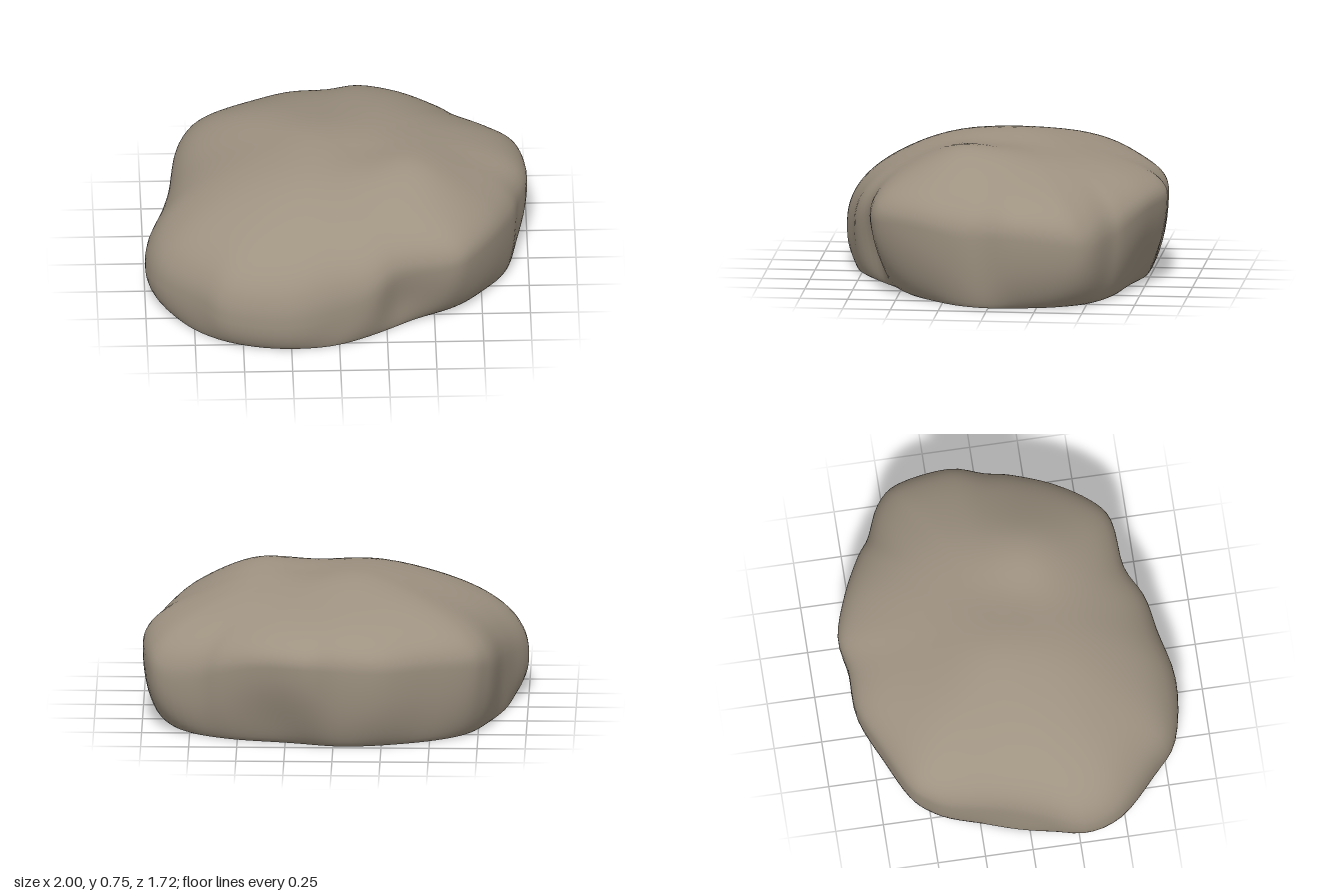
import * as THREE from 'three';

// Widest outline of the boulder: x, z, height of the widest point, base scale
const OUTLINE = [
  [1.0, -0.15, 0.38, 0.91], [0.97, -0.42, 0.34, 0.9], [0.885, -0.54, 0.3, 0.9],
  [0.7, -0.62, 0.33, 0.89], [0.59, -0.69, 0.38, 0.88], [0.38, -0.79, 0.44, 0.86],
  [0.15, -0.86, 0.45, 0.85], [-0.03, -0.83, 0.43, 0.87], [-0.26, -0.82, 0.42, 0.89],
  [-0.5, -0.71, 0.41, 0.9], [-0.7, -0.61, 0.39, 0.91], [-0.78, -0.52, 0.37, 0.92],
  [-0.83, -0.4, 0.33, 0.93], [-0.87, -0.15, 0.28, 0.95], [-0.925, 0.05, 0.24, 0.96],
  [-1.0, 0.27, 0.2, 0.96], [-0.94, 0.48, 0.2, 0.96], [-0.73, 0.68, 0.2, 0.97],
  [-0.57, 0.805, 0.18, 0.97], [-0.26, 0.855, 0.17, 0.97], [0.0, 0.795, 0.2, 0.96],
  [0.18, 0.76, 0.26, 0.92], [0.33, 0.68, 0.34, 0.88], [0.58, 0.64, 0.38, 0.84],
  [0.7, 0.55, 0.4, 0.85], [0.83, 0.37, 0.4, 0.88], [0.92, 0.17, 0.37, 0.93],
  [0.95, 0.03, 0.37, 0.94],
];

// Swellings and hollows on the sides: x, y, z, radius, outward scale
const SIDE_LUMPS = [
  [0.36, 0.16, 0.6, 0.14, -0.07], [0.02, 0.45, 0.66, 0.18, 0.03],
  [0.53, 0.48, 0.5, 0.16, 0.03], [-0.45, 0.42, 0.72, 0.2, 0.02],
  [0.3, 0.12, -0.75, 0.16, -0.05], [-0.6, 0.52, -0.45, 0.2, 0.02],
];

// Swellings and hollows on the top: x, z, radius, height
const TOP_LUMPS = [
  [0.42, 0.18, 0.2, 0.085], [-0.1, -0.08, 0.2, 0.05], [0.15, 0.06, 0.12, -0.02],
  [-0.4, -0.4, 0.2, 0.03], [-0.15, 0.35, 0.2, 0.035], [0.45, -0.3, 0.2, 0.03],
  [-0.5, 0.1, 0.2, 0.02],
];

const SEGMENTS = 112, LOWER = 12, UPPER = 26;
const gauss = (d2, r) => Math.exp(-d2 / (2 * r * r));

function topHeight(x, z) {
  return TOP_LUMPS.reduce(
    (y, [cx, cz, r, a]) => y + a * gauss((x - cx) ** 2 + (z - cz) ** 2, r), 0.695);
}

// One point of ring j: rings run from the ground, past the widest line, to the crown.
// Away from the widest line the outline eases into its softened version.
function surfacePoint({ edge, soft, base }, j) {
  const p = new THREE.Vector3();
  if (j <= LOWER) {
    const a = j / LOWER, out = Math.sin(a * Math.PI / 2);
    p.lerpVectors(soft, edge, out).multiplyScalar(base + (1 - base) * out);
    p.y = edge.y * a ** 1.5;
  } else {
    const a = (j - LOWER) / UPPER * Math.PI / 2, power = 2 / 2.3;
    p.lerpVectors(edge, soft, Math.sin(a) ** 2);
    p.multiplyScalar(Math.max(0, Math.cos(a)) ** power);
    p.y = edge.y + (topHeight(p.x, p.z) - edge.y) * Math.sin(a) ** power;
  }
  let k = 1;
  for (const [cx, cy, cz, r, a] of SIDE_LUMPS) {
    k += a * gauss((p.x - cx) ** 2 + (p.y - cy) ** 2 + (p.z - cz) ** 2, r);
  }
  return [p.x * k, p.y, p.z * k];
}

// Sample the outline, its softened version and the base scale around the boulder
function sampleOutline() {
  const closed = pts => new THREE.CatmullRomCurve3(pts, true, 'catmullrom', 0.5);
  const edgeCurve = closed(OUTLINE.map(([x, z, h]) => new THREE.Vector3(x, h, z)));
  const baseCurve = closed(OUTLINE.map(([, , , b]) => new THREE.Vector3(b, 0, 0)));
  return Array.from({ length: SEGMENTS }, (_, i) => {
    const t = i / SEGMENTS, soft = new THREE.Vector3();
    for (let k = -6; k <= 6; k++) soft.add(edgeCurve.getPoint((t + k * 0.01 + 1) % 1));
    soft.multiplyScalar(1.015 / 13);
    return { edge: edgeCurve.getPoint(t), soft, base: baseCurve.getPoint(t).x };
  });
}

function makeGeometry(positions, indices) {
  const g = new THREE.BufferGeometry();
  g.setAttribute('position', new THREE.Float32BufferAttribute(positions, 3));
  g.setIndex(indices);
  g.computeVertexNormals();
  return g;
}

export function createModel() {
  const group = new THREE.Group();
  group.name = 'boulder';
  const stone = new THREE.MeshStandardMaterial({ color: 0x9e9281 });
  stone.name = 'warm grey stone';

  // Body: rings stacked from the ground up, closed by a single crown point
  const samples = sampleOutline();
  const positions = [], indices = [], rings = LOWER + UPPER;
  for (let j = 0; j < rings; j++) {
    for (const sample of samples) positions.push(...surfacePoint(sample, j));
  }
  positions.push(0, topHeight(0, 0), 0);
  const crown = rings * SEGMENTS;
  for (let j = 0; j < rings; j++) {
    for (let i = 0; i < SEGMENTS; i++) {
      const n = (i + 1) % SEGMENTS;
      const a = j * SEGMENTS + i, b = j * SEGMENTS + n;
      if (j === rings - 1) indices.push(a, b, crown);
      else indices.push(a, b, b + SEGMENTS, a, b + SEGMENTS, a + SEGMENTS);
    }
  }
  const body = new THREE.Mesh(makeGeometry(positions, indices), stone);
  body.name = 'boulderBody';

  // Flat underside sharing the outline of the lowest ring
  const floor = [...positions.slice(0, SEGMENTS * 3), 0, 0, 0], fan = [];
  for (let i = 0; i < SEGMENTS; i++) fan.push(SEGMENTS, (i + 1) % SEGMENTS, i);
  const underside = new THREE.Mesh(makeGeometry(floor, fan), stone);
  underside.name = 'flatUnderside';

  group.add(body, underside);
  return group;
}
